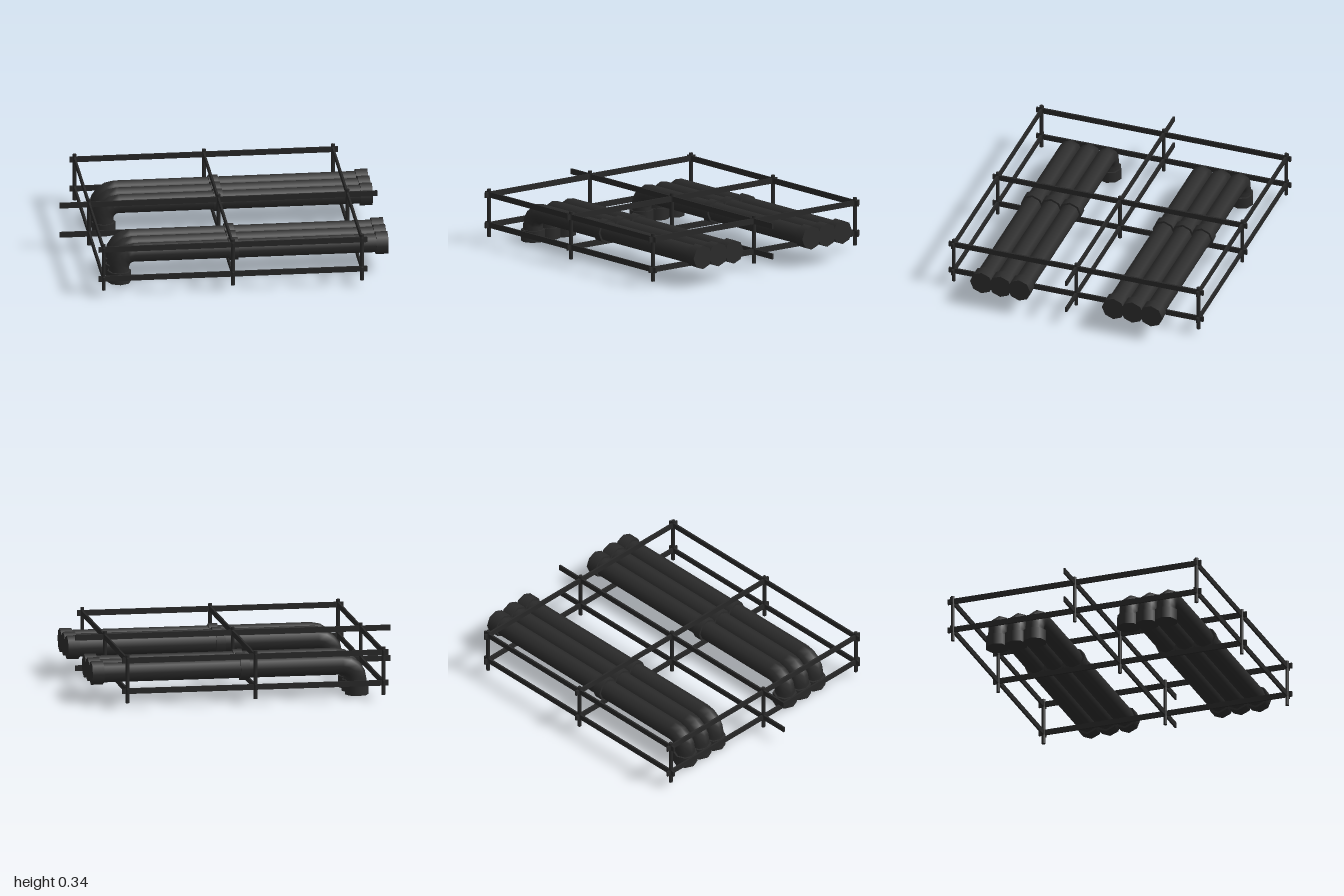
import * as THREE from 'three';

const PIPE_R = 0.0625, COLLAR_R = 0.0755, PIPE_Y = 0.1885;
const BEND_R = 0.0945, DOWN_X = -0.6875, SIDES = 8;

export function createModel() {
  const model = new THREE.Group();
  model.name = 'pipeRack';
  const pipeMat = new THREE.MeshStandardMaterial({ color: 0x2b2b2b });
  pipeMat.name = 'pipe charcoal';
  const frameMat = new THREE.MeshStandardMaterial({ color: 0x272727 });
  frameMat.name = 'frame charcoal';

  const add = (parent, name, geometry, material, x, y, z) => {
    const mesh = new THREE.Mesh(geometry, material);
    mesh.name = name;
    mesh.position.set(x, y, z);
    parent.add(mesh);
  };

  // octagonal tube lying along x, or standing up, between two coordinates
  const lying = (parent, name, r, x0, x1) => add(parent, name,
    new THREE.CylinderGeometry(r, r, x1 - x0, SIDES).rotateZ(Math.PI / 2),
    pipeMat, (x0 + x1) / 2, PIPE_Y, 0);
  const standing = (parent, name, r, y0, y1) => add(parent, name,
    new THREE.CylinderGeometry(r, r, y1 - y0, SIDES),
    pipeMat, DOWN_X, (y0 + y1) / 2, 0);

  // two banks of three pipes, each with an elbow and three collars
  for (const side of [-1, 1]) {
    for (let i = 0; i < 3; i++) {
      const pipe = new THREE.Group();
      pipe.name = 'pipe';
      pipe.position.z = side * (0.3125 + i * 0.125);
      const bendX = DOWN_X + BEND_R, bendY = PIPE_Y - BEND_R;
      lying(pipe, 'pipeRun', PIPE_R, bendX, 0.99);
      lying(pipe, 'middleCollar', COLLAR_R, 0, 0.058);
      lying(pipe, 'endCollar', COLLAR_R, 0.925, 1);
      add(pipe, 'elbow',
        new THREE.TorusGeometry(BEND_R, PIPE_R, SIDES, 4, Math.PI / 2).rotateZ(Math.PI / 2),
        pipeMat, bendX, bendY, 0);
      standing(pipe, 'downPipe', PIPE_R, 0.01, bendY);
      standing(pipe, 'footCollar', COLLAR_R, 0, 0.073);
      model.add(pipe);
    }
  }

  // frame: flat rails at two heights, with a post at every crossing
  const frame = new THREE.Group();
  frame.name = 'frame';
  const lines = [-0.8125, 0, 0.8125];
  for (const y of [0.1135, 0.308]) {
    for (const p of lines) {
      const length = p === 0 ? 2 : 1.69;
      add(frame, 'longRail', new THREE.BoxGeometry(length, 0.035, 0.012), frameMat, 0, y, p);
      add(frame, 'crossRail', new THREE.BoxGeometry(0.012, 0.035, 1.69), frameMat, p, y, 0);
    }
  }
  for (const x of lines) {
    for (const z of lines) {
      add(frame, 'post', new THREE.CylinderGeometry(0.0125, 0.0125, 0.305, SIDES),
        frameMat, x, 0.1905, z);
    }
  }
  model.add(frame);
  return model;
}
